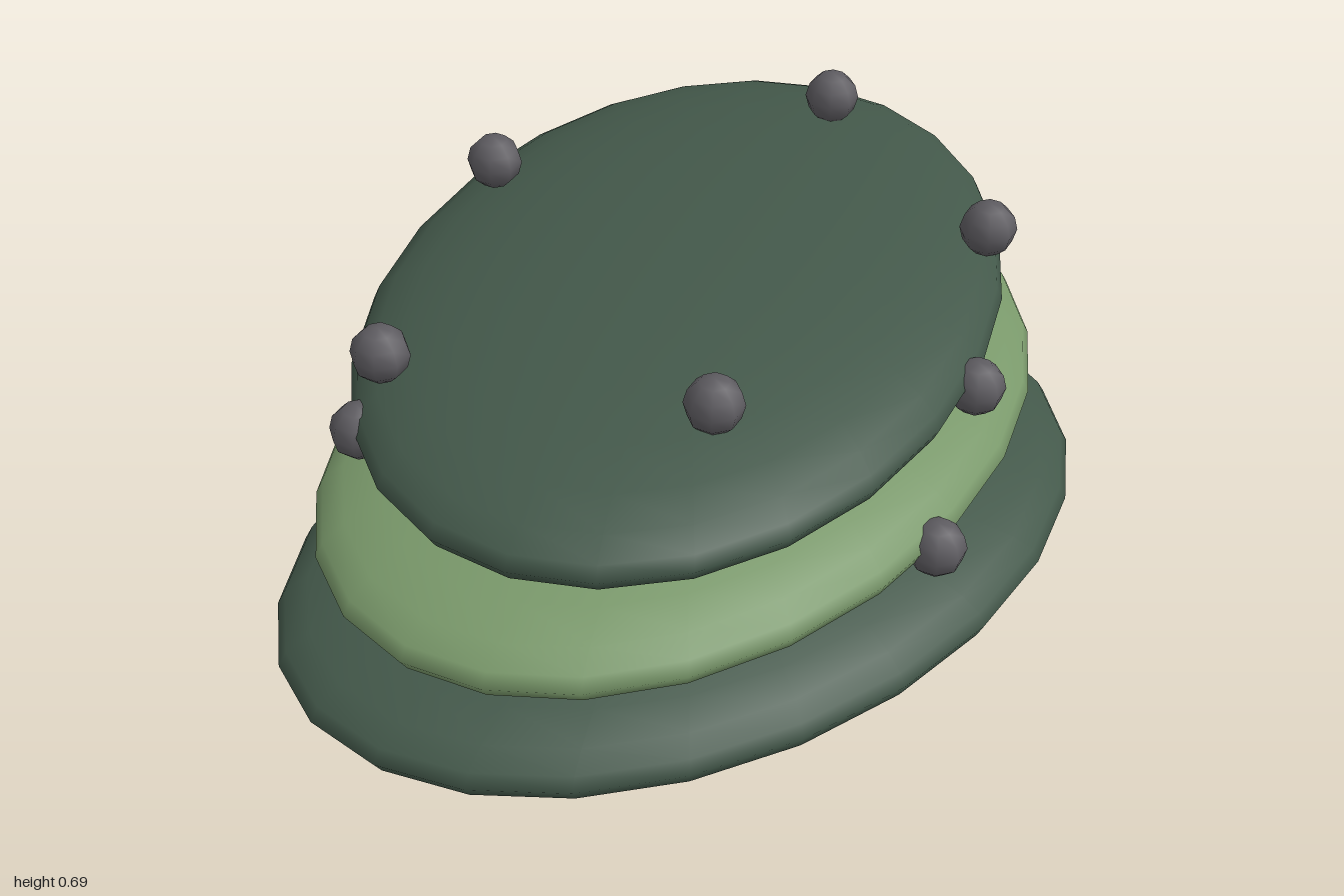
import * as THREE from 'three';

const material = (name, color) => {
  const m = new THREE.MeshStandardMaterial({ color });
  m.name = name;
  return m;
};

export function createModel() {
  const group = new THREE.Group();
  group.name = 'stackedStones';

  const darkGreen = material('dark green', 0x43584a);
  const lightGreen = material('light green', 0x79986a);
  const grey = material('grey', 0x5e5c61);

  // Flattened stones, each turned and shifted further than the one below
  const stone = new THREE.SphereGeometry(1, 24, 16).scale(0.925, 0.148, 0.64);
  const stones = [
    ['bottomStone', darkGreen, [-0.075, 0.15, 0.16], 0],
    ['middleStone', lightGreen, [0.025, 0.315, 0.035], 0.27],
    ['topStone', darkGreen, [0.13, 0.48, -0.095], 0.51],
  ];
  for (const [name, mat, position, turn] of stones) {
    const mesh = new THREE.Mesh(stone, mat);
    mesh.name = name;
    mesh.position.set(...position);
    mesh.rotation.y = turn;
    group.add(mesh);
  }

  // Small pebbles resting on each layer
  const pebble = new THREE.SphereGeometry(0.06, 8, 6);
  const pebbles = [
    [0, 0.63, -0.6], [0.76, 0.63, -0.34], [-0.585, 0.63, -0.165],
    [-0.19, 0.63, 0.365], [0.64, 0.63, 0.27],
    [0.4, 0.46, 0.49], [-0.64, 0.46, -0.18],
    [0.13, 0.3, 0.665], [-0.67, 0.295, 0.41],
  ];
  pebbles.forEach((position, i) => {
    const mesh = new THREE.Mesh(pebble, grey);
    mesh.name = `pebble${i + 1}`;
    mesh.position.set(...position);
    group.add(mesh);
  });

  return group;
}
